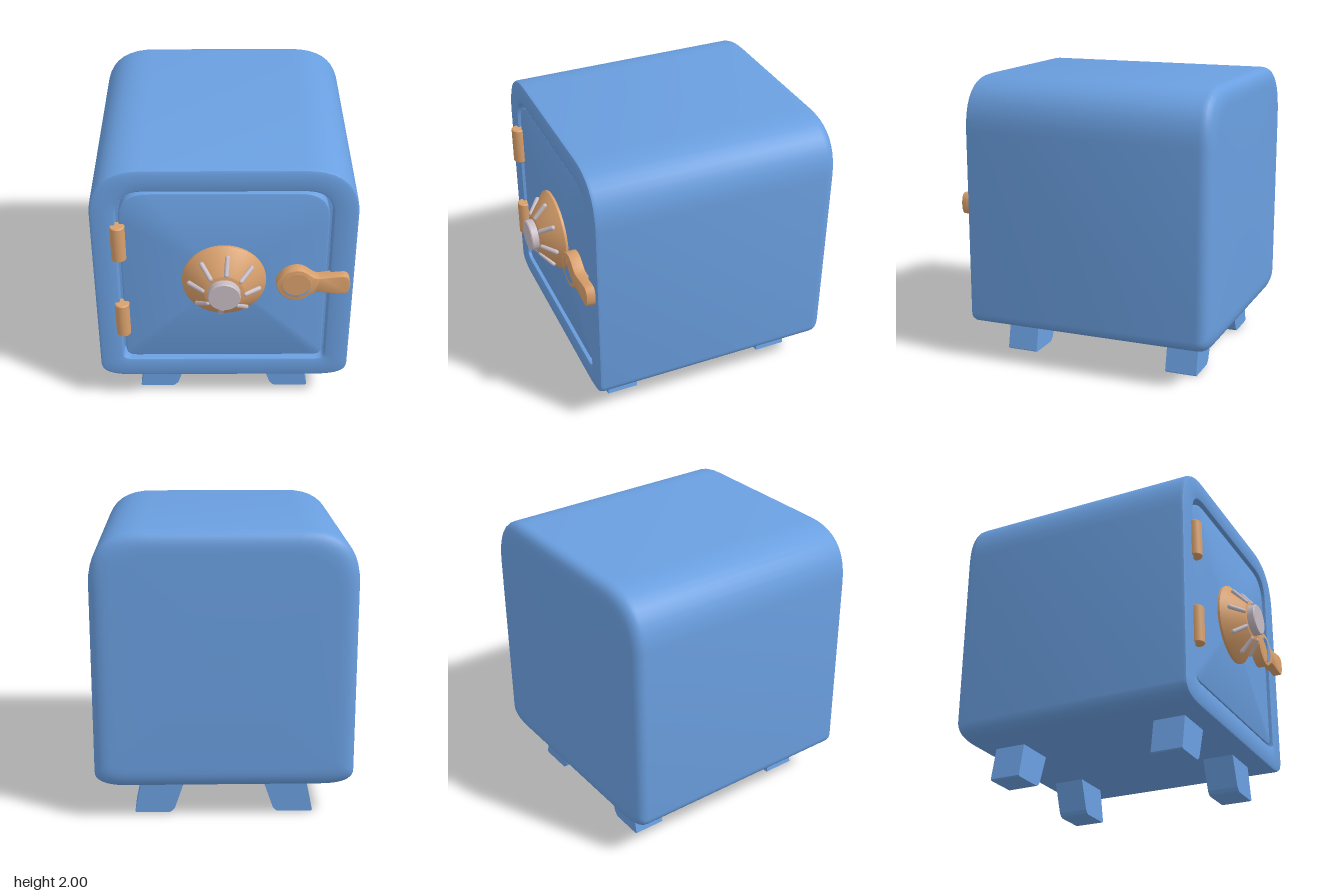
import * as THREE from 'three';
import { toCreasedNormals } from 'three/addons/utils/BufferGeometryUtils.js';

const blue = new THREE.MeshStandardMaterial({ color: 0x6a9fe0 });
const copper = new THREE.MeshStandardMaterial({ color: 0xd9a06c });
const silver = new THREE.MeshStandardMaterial({ color: 0xc8bcc4 });

// Rounded outline, counter-clockwise; top corners [tx, ty], bottom corners [bx, by]
function outline(hw, y0, y1, [tx, ty], [bx, by], n = 10) {
  const corners = [
    [hw, y0, [-bx, 0], [0, by]], [hw, y1, [0, -ty], [-tx, 0]],
    [-hw, y1, [tx, 0], [0, -ty]], [-hw, y0, [0, by], [bx, 0]],
  ];
  const pts = [];
  for (const [x, y, a, b] of corners) {
    for (let i = 0; i <= n; i++) {
      const t = i / n, u = (1 - t) ** 2, v = t * t;
      pts.push([x + a[0] * u + b[0] * v, y + a[1] * u + b[1] * v]);
    }
  }
  return pts;
}

// Skin a list of { pts, z } rings running from back to front, then inwards
function loft(rings) {
  const n = rings[0].pts.length, pos = [], index = [];
  for (const { pts, z } of rings) for (const [x, y] of pts) pos.push(x, y, z);
  for (let i = 0; i < rings.length - 1; i++) {
    for (let j = 0; j < n; j++) {
      const k = (j + 1) % n, a = i * n + j, b = i * n + k, c = b + n, d = a + n;
      index.push(a, b, c, a, c, d);
    }
  }
  const g = new THREE.BufferGeometry();
  g.setAttribute('position', new THREE.Float32BufferAttribute(pos, 3));
  g.setIndex(index);
  return toCreasedNormals(g, 0.6);
}

const flat = (cy) => outline(0, cy, cy, [0, 0], [0, 0]);
const shell = (d) => outline(0.88 - d, 0.245 + d, 2 - d, [0.36 - d / 2, 0.36 - d / 2], [0.22 - d / 2, 0.1 - d / 4]);
const opening = (d) => outline(0.715 - d, 0.405 + d, 1.84 - d, [0.2, 0.2], [0.07, 0.05]);

function add(parent, name, geometry, material) {
  const mesh = new THREE.Mesh(geometry, material);
  mesh.name = name;
  parent.add(mesh);
  return mesh;
}

export function createModel() {
  const model = new THREE.Group();
  model.name = 'safe';

  // Body: rounded back, straight sides, front frame and the recess for the door
  const body = [{ pts: flat(1.12), z: -0.972 }];
  for (let i = 0; i <= 8; i++) {
    const t = i / 8;
    body.push({ pts: shell(0.14 * (1 - t) ** 2), z: -0.972 + 0.09 * t * t });
  }
  body.push(
    { pts: shell(0), z: 0.76 }, { pts: shell(0.006), z: 0.778 }, { pts: shell(0.022), z: 0.785 },
    { pts: opening(-0.012), z: 0.785 }, { pts: opening(-0.003), z: 0.781 }, { pts: opening(0), z: 0.77 },
    { pts: opening(0), z: 0.68 }, { pts: flat(1.12), z: 0.68 },
  );
  add(model, 'body', loft(body), blue);

  // Door with softened edge, set in the recess
  add(model, 'door', loft([
    { pts: opening(0.024), z: 0.68 }, { pts: opening(0.024), z: 0.755 },
    { pts: opening(0.028), z: 0.766 }, { pts: opening(0.038), z: 0.77 }, { pts: flat(1.12), z: 0.77 },
  ]), blue);

  // Splayed feet
  for (const side of [-1, 1]) {
    for (const z of [0.405, -0.81]) {
      const pts = [[0.36, 0.008], [0.375, 0], [0.605, 0], [0.614, 0.008], [0.556, 0.29], [0.25, 0.29], [0.34, 0.03]]
        .map(([x, y]) => new THREE.Vector2(x * side, y));
      const geo = new THREE.ExtrudeGeometry(new THREE.Shape(pts), { depth: 0.225, bevelEnabled: false });
      add(model, 'foot', geo, blue).position.z = z;
    }
  }

  // Hinges
  for (const y of [0.795, 1.445]) {
    const r = 0.05, h = 0.135;
    const profile = [[0, -h], [r - 0.006, -h], [r, -h + 0.006], [r, h - 0.006], [r - 0.006, h], [0, h]];
    const geo = new THREE.LatheGeometry(profile.map(([x, v]) => new THREE.Vector2(x, v)), 24);
    add(model, 'hinge', toCreasedNormals(geo, 0.5), copper).position.set(-0.7, y, 0.788);
  }

  // Combination dial: cone, centre knob and grip bars
  const dial = new THREE.Group();
  dial.name = 'dial';
  dial.position.set(0, 1.12, 0);
  model.add(dial);
  const turned = (name, profile, material) => {
    const geo = new THREE.LatheGeometry(profile.map(([r, z]) => new THREE.Vector2(r, z)), 48);
    geo.rotateX(Math.PI / 2);
    add(dial, name, toCreasedNormals(geo, 0.5), material);
  };
  turned('dialCone', [[0, 0.75], [0.285, 0.75], [0.285, 0.787], [0.28, 0.793], [0.14, 0.918], [0.13, 0.922], [0, 0.922]], copper);
  turned('dialKnob', [[0, 0.9], [0.11, 0.9], [0.11, 0.968], [0.104, 0.975], [0, 0.975]], silver);
  for (let i = 0; i < 8; i++) {
    const arm = new THREE.Group();
    arm.name = 'dialGrip';
    arm.rotation.z = -0.1 + i * Math.PI / 4;
    const bar = add(arm, 'gripBar', new THREE.CapsuleGeometry(0.017, 0.115, 4, 12), silver);
    bar.position.set(0.19, 0, 0.878);
    bar.rotation.z = Math.PI / 2;
    bar.rotation.order = 'YZX';
    bar.rotation.y = Math.atan2(0.085, 0.11);
    dial.add(arm);
  }

  // Handle: teardrop ring with sunken centre and a flared lever
  const s = new THREE.Shape();
  s.moveTo(0.352, 1.12);
  s.bezierCurveTo(0.355, 1.17, 0.41, 1.245, 0.49, 1.245);
  s.bezierCurveTo(0.56, 1.245, 0.58, 1.18, 0.63, 1.178);
  s.bezierCurveTo(0.7, 1.18, 0.75, 1.197, 0.81, 1.195);
  s.bezierCurveTo(0.862, 1.19, 0.862, 1.05, 0.81, 1.045);
  s.bezierCurveTo(0.75, 1.043, 0.7, 1.06, 0.63, 1.062);
  s.bezierCurveTo(0.58, 1.06, 0.56, 0.995, 0.49, 0.995);
  s.bezierCurveTo(0.41, 0.995, 0.355, 1.07, 0.352, 1.12);
  const hole = new THREE.Path();
  hole.absarc(0.49, 1.12, 0.1, 0, Math.PI * 2, true);
  s.holes.push(hole);
  const handle = new THREE.ExtrudeGeometry(s, {
    depth: 0.072, curveSegments: 16, bevelSize: 0.006, bevelThickness: 0.006, bevelOffset: -0.006, bevelSegments: 2,
  });
  add(model, 'handle', toCreasedNormals(handle, 0.6), copper).position.z = 0.768;
  const centre = new THREE.CylinderGeometry(0.102, 0.102, 0.055, 32).rotateX(Math.PI / 2);
  add(model, 'handleCentre', centre, copper).position.set(0.49, 1.12, 0.7925);

  return model;
}
